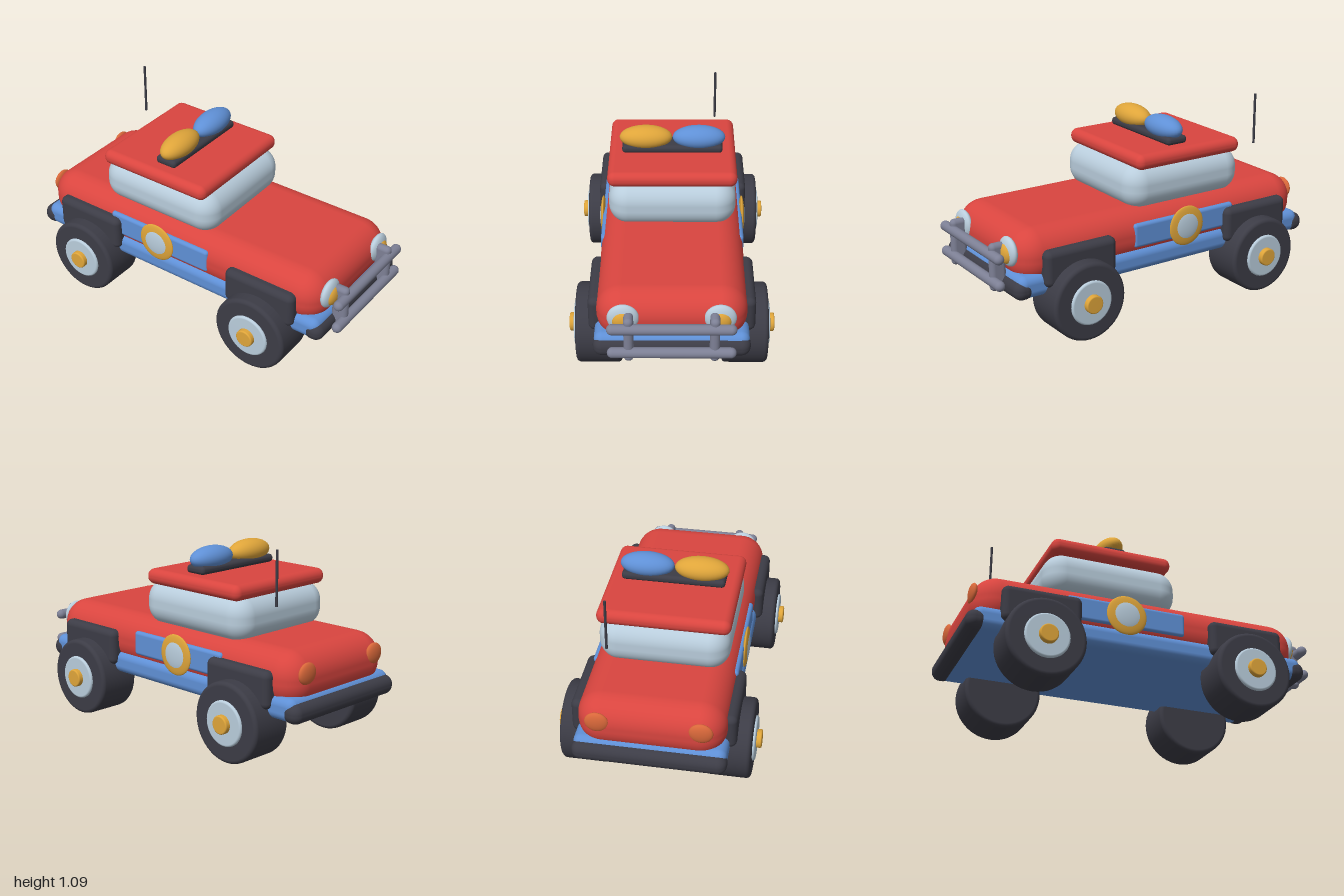
import * as THREE from 'three';
import { RoundedBoxGeometry } from 'three/addons/geometries/RoundedBoxGeometry.js';

const paint = (name, color) => {
  const m = new THREE.MeshStandardMaterial({ color });
  m.name = name;
  return m;
};

export function createModel() {
  const red = paint('red', 0xd9453f);
  const blue = paint('blue', 0x5f90d6);
  const pale = paint('pale blue', 0xb9cddc);
  const dark = paint('charcoal', 0x3c3c46);
  const yellow = paint('yellow', 0xdfa53a);
  const steel = paint('steel', 0x7d8095);
  const orange = paint('orange', 0xd9683a);

  const car = new THREE.Group();
  car.name = 'car';

  const add = (name, geometry, material, x, y, z, parent = car) => {
    const mesh = new THREE.Mesh(geometry, material);
    mesh.name = name;
    mesh.position.set(x, y, z);
    parent.add(mesh);
    return mesh;
  };

  // Rounded block given by its size and centre
  const block = (name, material, [w, h, d], r, [x, y, z]) =>
    add(name, new RoundedBoxGeometry(w, h, d, 6, r), material, x, y, z);

  const ellipsoid = (name, material, [rx, ry, rz], [x, y, z]) =>
    add(name, new THREE.SphereGeometry(1, 32, 20).scale(rx, ry, rz), material, x, y, z);

  // Disc with rounded rims, its axis along x
  const disc = (r, width, bevel) => {
    const h = width / 2;
    const pts = [new THREE.Vector2(0, -h)];
    for (let i = 0; i <= 5; i++) {
      const a = (i / 5) * Math.PI / 2;
      pts.push(new THREE.Vector2(r - bevel + bevel * Math.sin(a), -h + bevel - bevel * Math.cos(a)));
    }
    for (let i = 5; i >= 0; i--) {
      const a = (i / 5) * Math.PI / 2;
      pts.push(new THREE.Vector2(r - bevel + bevel * Math.sin(a), h - bevel + bevel * Math.cos(a)));
    }
    pts.push(new THREE.Vector2(0, h));
    return new THREE.LatheGeometry(pts, 48).rotateZ(-Math.PI / 2);
  };

  // Body, chassis and cabin
  block('body', red, [0.78, 0.3, 1.85], 0.138, [0, 0.455, -0.033]);
  block('chassis', blue, [0.8, 0.125, 1.87], 0.045, [0, 0.325, -0.03]);
  block('cabinGlass', pale, [0.7, 0.255, 0.76], 0.11, [0, 0.698, -0.19]);
  block('roof', red, [0.71, 0.085, 0.69], 0.04, [0, 0.847, -0.2]);

  // Bumpers
  block('frontBumper', dark, [0.81, 0.105, 0.11], 0.048, [0, 0.312, 0.872]);
  block('rearBumper', dark, [0.81, 0.105, 0.11], 0.048, [0, 0.312, -0.945]);

  // Roof light bar
  block('lightBarBase', dark, [0.56, 0.045, 0.13], 0.02, [0, 0.912, -0.162]);
  ellipsoid('rightBeacon', yellow, [0.147, 0.065, 0.075], [-0.148, 0.964, -0.16]);
  ellipsoid('leftBeacon', blue, [0.147, 0.065, 0.075], [0.148, 0.964, -0.16]);

  // Antenna
  add('antenna', new THREE.CylinderGeometry(0.007, 0.007, 0.29, 12), dark, 0.253, 0.947, -0.725);

  // Bull bar rails
  for (const y of [0.335, 0.48]) {
    const rail = new THREE.CapsuleGeometry(0.028, 0.6, 8, 20).rotateZ(Math.PI / 2);
    add('bullBarRail', rail, steel, 0, y, 0.97);
  }

  for (const s of [-1, 1]) {
    const side = s > 0 ? 'left' : 'right';

    // Bull bar posts and lamps
    block(side + 'BullBarPost', steel, [0.05, 0.26, 0.09], 0.024, [s * 0.218, 0.41, 0.937]);
    ellipsoid(side + 'HeadlightRim', pale, [0.082, 0.08, 0.032], [s * 0.247, 0.49, 0.885]);
    ellipsoid(side + 'HeadlightBulb', yellow, [0.056, 0.056, 0.03], [s * 0.247, 0.483, 0.9]);
    ellipsoid(side + 'TailLight', orange, [0.063, 0.058, 0.022], [s * 0.268, 0.5, -0.948]);

    // Door stripe and round badge
    block(side + 'DoorStripe', blue, [0.04, 0.135, 0.67], 0.018, [s * 0.375, 0.465, -0.135]);
    ellipsoid(side + 'BadgeRing', yellow, [0.016, 0.113, 0.113], [s * 0.398, 0.463, -0.14]);
    ellipsoid(side + 'BadgeDisc', pale, [0.02, 0.09, 0.09], [s * 0.398, 0.463, -0.14]);

    // Fenders and wheels
    for (const [end, z] of [['Front', 0.553], ['Rear', -0.612]]) {
      block(side + end + 'Fender', dark, [0.11, 0.2, 0.432], 0.035, [s * 0.38, 0.41, z]);
      const wheel = new THREE.Group();
      wheel.name = side + end + 'Wheel';
      wheel.position.set(s * 0.387, 0.217, z);
      car.add(wheel);
      add('tyre', disc(0.216, 0.243, 0.022), dark, 0, 0, 0, wheel);
      add('hub', disc(0.122, 0.06, 0.012), pale, s * 0.105, 0, 0, wheel);
      add('hubCap', disc(0.05, 0.06, 0.008), yellow, s * 0.133, 0, 0, wheel);
    }
  }

  return car;
}
